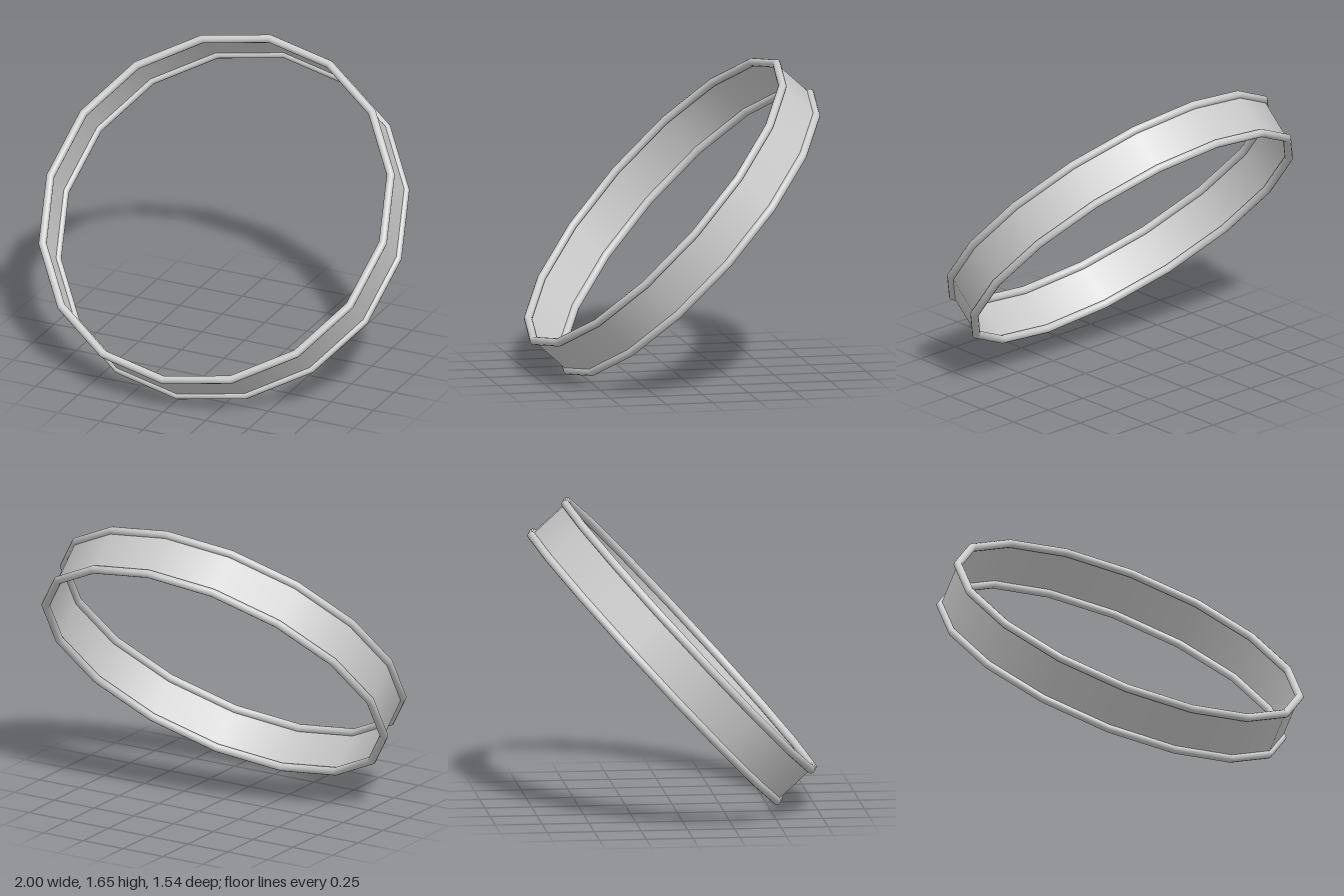
import * as THREE from 'three';

export function createModel() {
  const model = new THREE.Group();
  model.name = 'tiltedRing';

  const SIDES = 16, TUBE = 0.022, RADIUS = 1 - TUBE, HALF_WIDTH = 0.123;
  const material = new THREE.MeshStandardMaterial({ color: 0xcccccc, side: THREE.DoubleSide });

  const ring = new THREE.Group();
  ring.name = 'ring';

  // Thin open band
  const band = new THREE.Mesh(
    new THREE.CylinderGeometry(RADIUS, RADIUS, HALF_WIDTH * 2, SIDES, 1, true), material);
  band.name = 'band';
  ring.add(band);

  // Rounded rim along each edge of the band
  const rimGeometry = new THREE.TorusGeometry(RADIUS, TUBE, 12, SIDES).rotateX(Math.PI / 2);
  for (const side of [1, -1]) {
    const rim = new THREE.Mesh(rimGeometry, material);
    rim.name = side > 0 ? 'frontRim' : 'backRim';
    rim.position.y = side * HALF_WIDTH;
    ring.add(rim);
  }

  // Lean the ring back and stand it on the ground
  const tilt = THREE.MathUtils.degToRad(47.6);
  ring.rotation.x = tilt;
  ring.position.y = RADIUS * Math.sin(tilt) + HALF_WIDTH * Math.cos(tilt) + TUBE;
  model.add(ring);
  return model;
}
